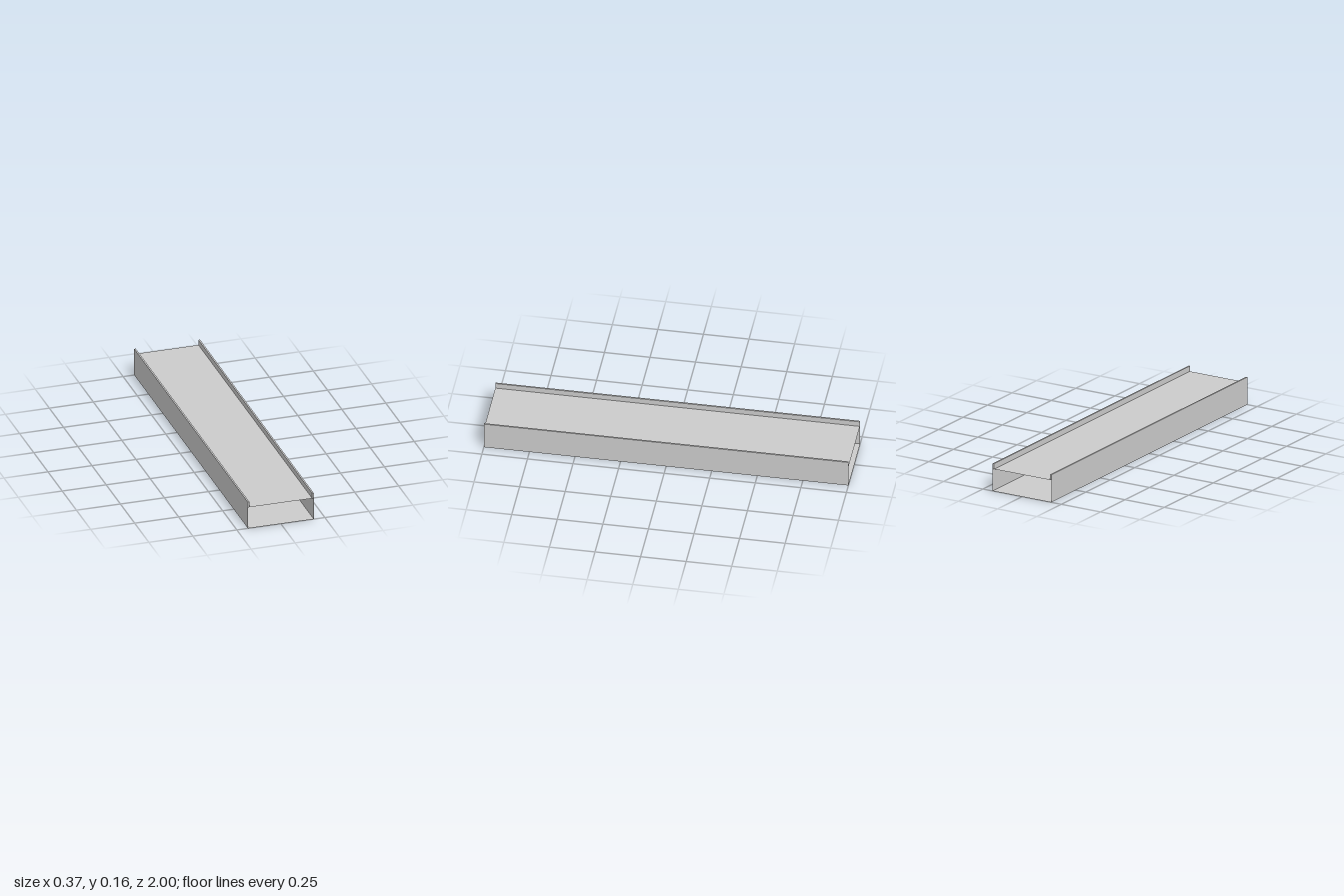
import * as THREE from 'three';

const LENGTH = 2;
const HALF = 0.187;    // half of the outer width
const DECK_Y = 0.126;  // height of the walking surface
const TOP_Y = 0.157;   // top of the curbs
const CURB = 0.009;    // curb thickness

export function createModel() {
  const group = new THREE.Group();
  const solid = new THREE.MeshStandardMaterial({ color: 0xcccccc, flatShading: true });
  const sheet = new THREE.MeshStandardMaterial({ color: 0xcccccc, flatShading: true, side: THREE.DoubleSide });

  const add = (name, geometry, material, x, y) => {
    const mesh = new THREE.Mesh(geometry, material);
    mesh.name = name;
    mesh.position.set(x, y, 0);
    group.add(mesh);
  };

  // Thin horizontal sheets; the hollow between them is open at both ends
  const slab = (width) => new THREE.PlaneGeometry(width, LENGTH).rotateX(-Math.PI / 2);
  add('deck', slab(2 * (HALF - CURB)), sheet, 0, DECK_Y);
  add('underside', slab(2 * HALF), sheet, 0, 0);

  // Side walls, each carrying a low solid curb
  for (const [side, s] of [['left', 1], ['right', -1]]) {
    const wall = new THREE.PlaneGeometry(LENGTH, DECK_Y).rotateY(s * Math.PI / 2);
    add(side + 'Wall', wall, sheet, s * HALF, DECK_Y / 2);
    const curb = new THREE.BoxGeometry(CURB, TOP_Y - DECK_Y, LENGTH);
    add(side + 'Curb', curb, solid, s * (HALF - CURB / 2), (TOP_Y + DECK_Y) / 2);
  }
  return group;
}
